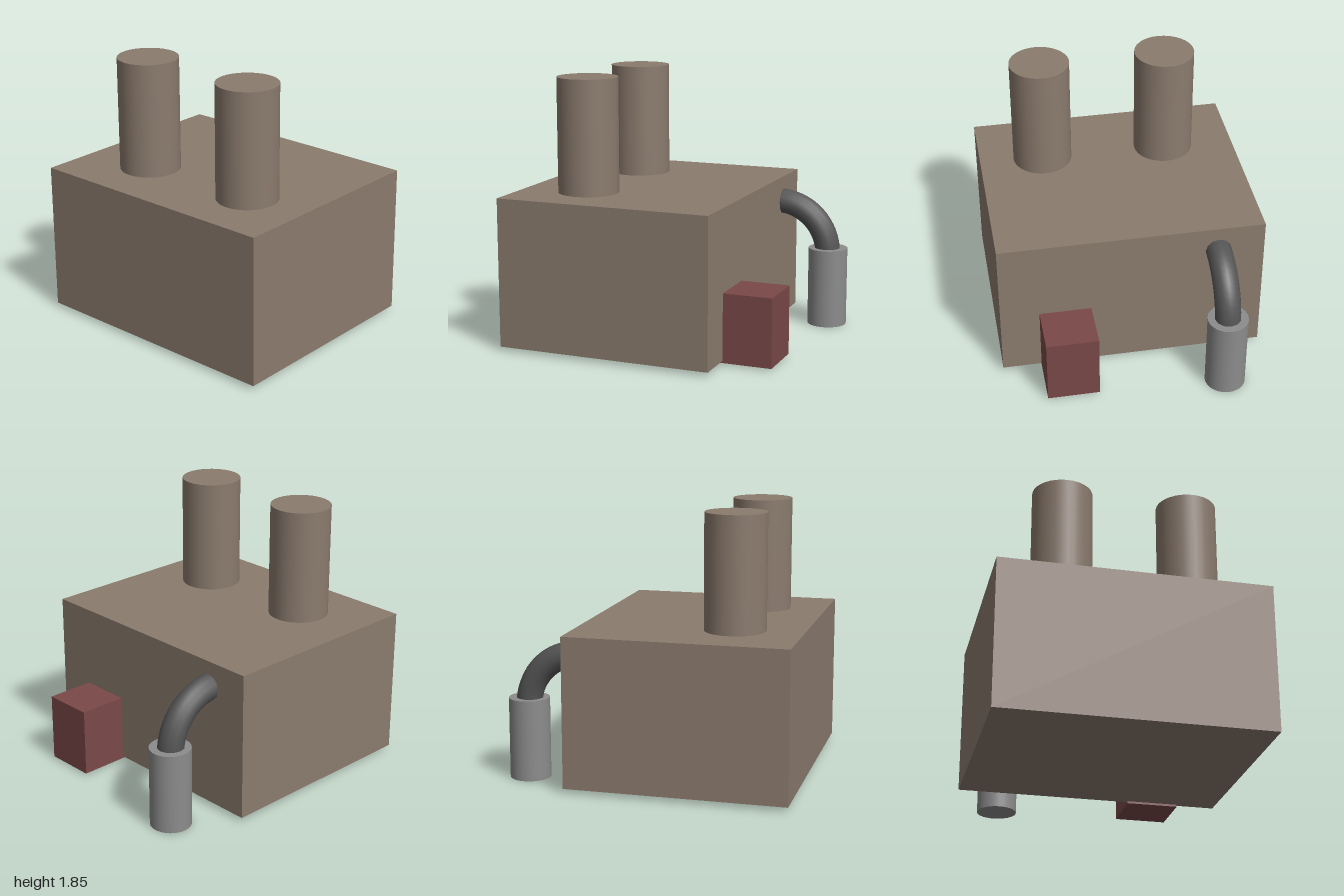
import * as THREE from 'three';

const mat = (color) => new THREE.MeshStandardMaterial({ color });

export function createModel() {
  const group = new THREE.Group();
  const brown = mat(0x8b7b6e), red = mat(0x7a4848), grey = mat(0x8c8c8c), dark = mat(0x555555);

  const add = (name, geometry, material, x, y, z) => {
    const mesh = new THREE.Mesh(geometry, material);
    mesh.name = name;
    mesh.position.set(x, y, z);
    group.add(mesh);
    return mesh;
  };

  // Main building block
  add('mainBlock', new THREE.BoxGeometry(1.515, 1.03, 1.835), brown, -0.2425, 0.545, -0.0025);

  // Two chimneys rising from the roof
  for (const [name, z] of [['frontChimney', 0.465], ['backChimney', -0.415]]) {
    add(name, new THREE.CylinderGeometry(0.209, 0.209, 0.8, 32), brown, -0.535, 1.45, z);
  }

  // Small annex against the left wall
  add('annex', new THREE.BoxGeometry(0.362, 0.475, 0.36), red, 0.674, 0.2525, 0.464);

  // Upright tank and the elbow pipe joining it to the wall
  add('tank', new THREE.CylinderGeometry(0.14, 0.14, 0.56, 32), grey, 0.857, 0.28, -0.6);
  add('elbowPipe', new THREE.TorusGeometry(0.365, 0.091, 12, 16, Math.PI / 2), dark, 0.49, 0.515, -0.6);

  return group;
}
